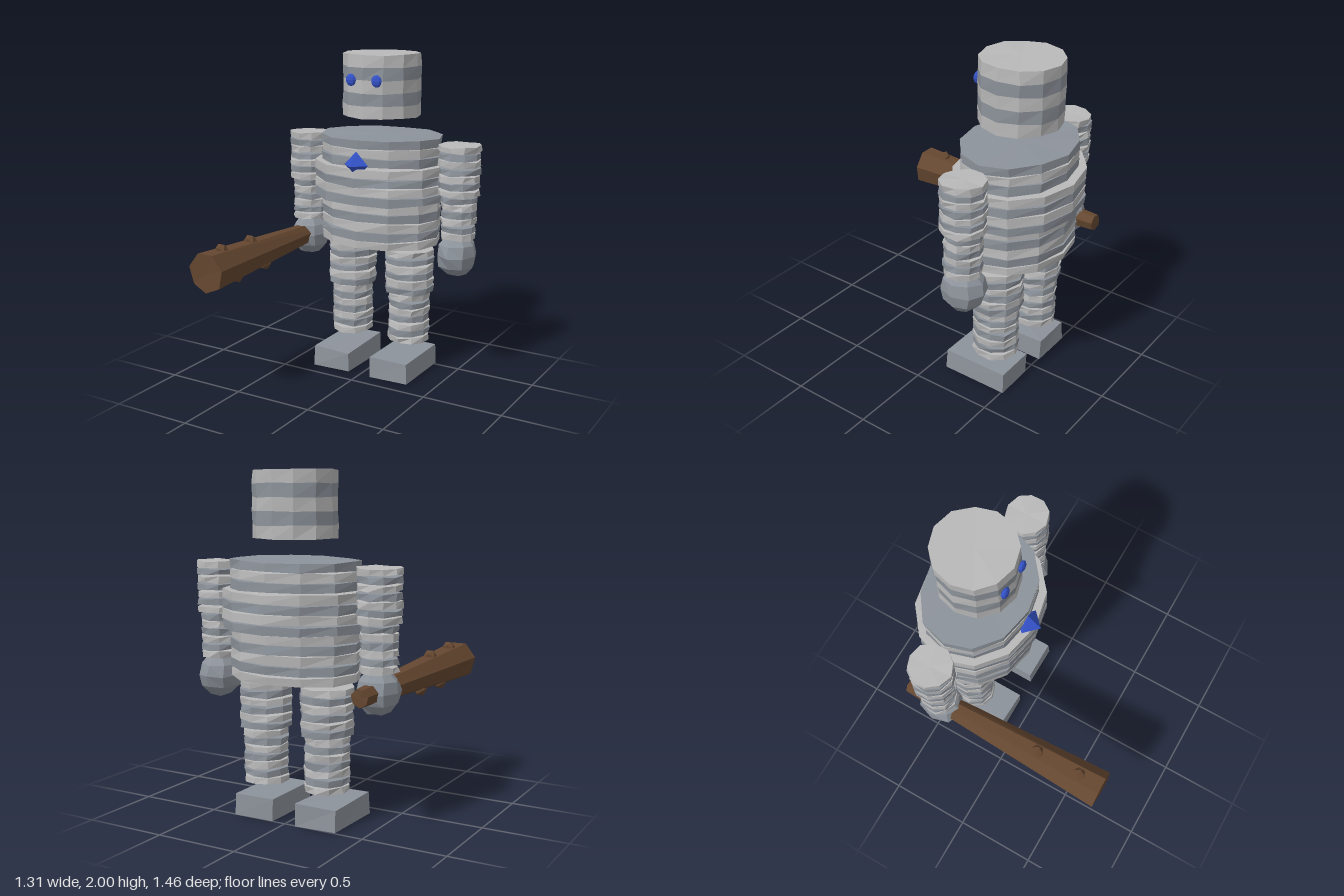
import * as THREE from 'three';

const material = (name, color) => {
  const m = new THREE.MeshStandardMaterial({ color });
  m.name = name;
  return m;
};

// repeatable offset in -0.5..0.5; equal points always get the same offset
const noise = (x, y, z, k) => {
  const r = (v) => Math.round(v * 500);
  const s = Math.sin(r(x) * 12.99 + r(y) * 78.23 + r(z) * 37.72 + k * 19.19) * 43758.55;
  return s - Math.floor(s) - 0.5;
};

// moves every corner slightly for a rough-hewn look
function roughen(geo, amount) {
  const p = geo.attributes.position;
  for (let i = 0; i < p.count; i++) {
    const x = p.getX(i), y = p.getY(i), z = p.getZ(i);
    p.setXYZ(i,
      x + noise(x, y, z, 1) * amount,
      y + noise(x, y, z, 2) * amount,
      z + noise(x, y, z, 3) * amount);
  }
  return geo;
}

// faceted mesh
function part(name, geo, mat) {
  const flat = geo.index ? geo.toNonIndexed() : geo;
  flat.computeVertexNormals();
  const mesh = new THREE.Mesh(flat, mat);
  mesh.name = name;
  return mesh;
}

export function createModel() {
  const pale = material('pale stone', 0xb9b9b9);
  const slate = material('slate stone', 0x8d939b);
  const wood = material('wood', 0x654730);
  const blue = material('blue crystal', 0x3452c8);
  const Z = -0.37; // body axis
  const model = new THREE.Group();
  model.name = 'stoneGolem';

  // stack of stone slabs with alternating colours, from the top down
  function stack(name, { x = 0, top, pitch, count, fill, sides, mats, radii, rough }) {
    const group = new THREE.Group();
    group.name = name;
    for (let i = 0; i < count; i++) {
      const [rx, rz] = radii(i);
      const geo = new THREE.CylinderGeometry(1, 1, pitch * fill, sides);
      geo.scale(rx, 1, rz);
      geo.translate(x, top - pitch * (i + 0.5), Z);
      group.add(part(name + 'Slab', roughen(geo, rough), mats[i % 2]));
    }
    model.add(group);
  }

  // head: touching bands
  stack('head', {
    top: 1.997, pitch: 0.0752, count: 5, fill: 1, sides: 12, mats: [pale, slate],
    radii: () => [0.238, 0.24], rough: 0.008,
  });

  // torso: the fourth to seventh slabs are wider
  stack('torso', {
    top: 1.506, pitch: 0.056, count: 12, fill: 0.88, sides: 12, mats: [slate, pale],
    radii: (i) => (i > 2 && i < 7 ? [0.432, 0.356] : [0.39, 0.312]), rough: 0.01,
  });

  for (const side of [-1, 1]) {
    const label = side > 0 ? 'left' : 'right';

    stack(label + 'Arm', {
      x: side * 0.53, top: 1.482, pitch: 0.044, count: 13, fill: 0.8, sides: 10, mats: [pale, slate],
      radii: (i) => (i < 7 ? [0.127, 0.13] : [0.107, 0.11]), rough: 0.012,
    });

    stack(label + 'Leg', {
      x: side * 0.205, top: 0.806, pitch: 0.0466, count: 13, fill: 0.8, sides: 10, mats: [pale, slate],
      radii: (i) => (i < 6 ? [0.153, 0.16] : [0.13, 0.138]), rough: 0.012,
    });

    const hand = new THREE.SphereGeometry(0.135, 8, 6);
    hand.scale(0.93, 1, 1.06);
    hand.translate(side * 0.525, 0.805, Z);
    model.add(part(label + 'Hand', roughen(hand, 0.012), slate));

    const foot = new THREE.BoxGeometry(0.255, 0.125, 0.412);
    foot.translate(side * 0.205, 0.07, -0.302);
    model.add(part(label + 'Foot', roughen(foot, 0.012), slate));

    const eye = new THREE.SphereGeometry(0.037, 8, 6);
    eye.scale(0.95, 1, 0.52);
    eye.translate(side * 0.087, 1.848, -0.141);
    model.add(part(label + 'Eye', eye, blue));
  }

  // crystal set in the chest
  const gem = new THREE.OctahedronGeometry(0.08);
  gem.translate(0, 1.357, -0.056);
  model.add(part('chestCrystal', gem, blue));

  // wooden club with studs, held in the right hand
  const club = new THREE.Group();
  club.name = 'club';
  const shaft = new THREE.CylinderGeometry(0.12, 0.052, 1.32, 7);
  shaft.rotateX(Math.PI / 2);
  shaft.rotateZ(Math.PI);
  // a flat side faces up
  const tilt = shaft.attributes.position;
  let highest = -1;
  for (let i = 0; i < tilt.count; i++) highest = Math.max(highest, tilt.getY(i));
  if (highest > 0.115) shaft.rotateZ(Math.PI / 7);
  shaft.translate(-0.53, 0.808, 0.07);
  club.add(part('clubShaft', roughen(shaft, 0.008), wood));
  for (const [y, z] of [[0.909, 0.58], [0.897, 0.3], [0.716, 0.445], [0.722, 0.16]]) {
    const stud = new THREE.IcosahedronGeometry(0.042);
    stud.translate(-0.53, y, z);
    club.add(part('clubStud', stud, wood));
  }
  model.add(club);

  return model;
}
